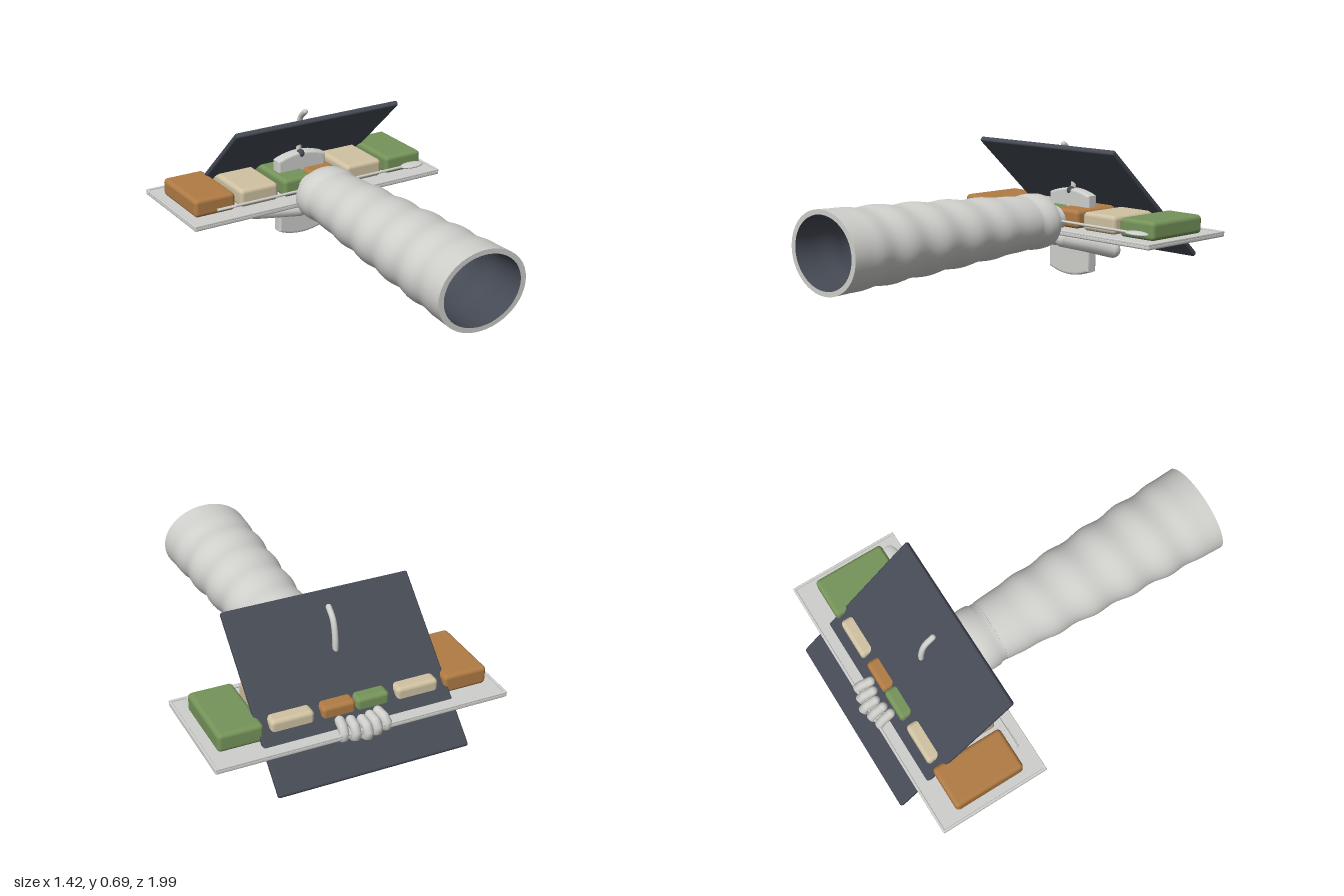
import * as THREE from 'three';
import { RoundedBoxGeometry } from 'three/addons/geometries/RoundedBoxGeometry.js';

const mat = (name, color, side = THREE.FrontSide) => {
  const m = new THREE.MeshStandardMaterial({ color, side });
  m.name = name;
  return m;
};
const V = (x, y, z) => new THREE.Vector3(x, y, z);

export function createModel() {
  const group = new THREE.Group();
  const grey = mat('light grey', 0xcfcfcc, THREE.DoubleSide);
  const dark = mat('charcoal', 0x454a54, THREE.DoubleSide);
  const orange = mat('orange brown', 0xb07b44);
  const beige = mat('beige', 0xd0c2a2);
  const green = mat('green', 0x76945a);

  const add = (name, geo, material, x = 0, y = 0, z = 0) => {
    const m = new THREE.Mesh(geo, material);
    m.name = name;
    m.position.set(x, y, z);
    group.add(m);
    return m;
  };
  const box = (name, w, h, d, r, material, x, y, z) =>
    add(name, new RoundedBoxGeometry(w, h, d, 3, r), material, x, y, z);
  const tube = (name, pts, r, material) => {
    add(name, new THREE.TubeGeometry(new THREE.CatmullRomCurve3(pts), 20, r, 12), material);
    for (const p of [pts[0], pts[pts.length - 1]])
      add(name + 'Tip', new THREE.SphereGeometry(r, 12, 8), material, p.x, p.y, p.z);
  };

  // Oval sleeve shell turned around z, with soft wrinkles
  const shell = (name, profile, material) => {
    const g = new THREE.LatheGeometry(profile.map(([r, z]) => new THREE.Vector2(r, z)), 48);
    g.rotateX(Math.PI / 2);
    const p = g.attributes.position;
    for (let i = 0; i < p.count; i++) {
      const x = p.getX(i), y = p.getY(i), z = p.getZ(i);
      const fade = THREE.MathUtils.smoothstep(z, -0.2, 0.1) * (1 - THREE.MathUtils.smoothstep(z, 0.75, 0.95));
      const k = 1 + 0.028 * fade * Math.sin(z * 30 + 0.8 * x / Math.hypot(x, y));
      p.setXY(i, x * k, y * k * 0.825);
    }
    g.computeVertexNormals();
    return add(name, g, material, 0, 0.3, 0);
  };
  const body = [], lining = [];
  for (let i = 0; i <= 72; i++) {
    const t = i / 72, z = -0.2 + 1.2 * t;
    const r = 0.16 + 0.073 * Math.pow(t, 0.85);
    body.push([r, z]);
    lining.unshift([r - 0.028, z]);
  }
  shell('sleeve', body, grey);
  shell('sleeveLining', [...lining, [0.12, -0.31]], dark);
  shell('sleeveRim', [[0.233, 1], [0.205, 1]], grey);
  shell('cuff', [[0.12, -0.31], [0.13, -0.325], [0.152, -0.325], [0.164, -0.315],
    [0.168, -0.28], [0.166, -0.24], [0.158, -0.225], [0.158, -0.2]], grey);

  // Tray with a low raised edge
  box('tray', 1.42, 0.022, 0.565, 0.008, grey, 0, 0.251, -0.612);
  for (const s of [-1, 1]) {
    box('trayEdge', 0.012, 0.012, 0.565, 0.004, grey, s * 0.704, 0.263, -0.612);
    box('trayEdge', 1.42, 0.012, 0.012, 0.004, grey, 0, 0.263, -0.612 + s * 0.276);
  }

  // Row of soft blocks with slightly domed tops
  const block = (x0, x1, material) => {
    const w = x1 - x0, g = new RoundedBoxGeometry(w, 0.09, 0.365, 5, 0.02);
    const p = g.attributes.position;
    for (let i = 0; i < p.count; i++)
      if (p.getY(i) > 0) p.setY(i, p.getY(i) + 0.006 - 0.024 * (p.getX(i) / w) ** 2);
    g.computeVertexNormals();
    add('block', g, material, (x0 + x1) / 2, 0.308, -0.607);
  };
  block(-0.66, -0.44, orange);
  block(-0.41, -0.2, beige);
  block(-0.165, 0, green);
  block(0, 0.165, orange);
  block(0.2, 0.41, beige);
  block(0.44, 0.655, green);

  // Spoon along the front of the tray
  const handle = new THREE.CylinderGeometry(0.007, 0.007, 1.08, 10).rotateZ(Math.PI / 2);
  add('spoonHandle', handle, grey, -0.015, 0.298, -0.395);
  box('spoonEnd', 0.1, 0.008, 0.022, 0.003, grey, -0.505, 0.298, -0.395);
  add('spoonBowl', new THREE.SphereGeometry(1, 24, 12).scale(0.068, 0.012, 0.036), grey, 0.58, 0.297, -0.395);

  // Slanted dark panel
  const panel = box('panel', 0.925, 0.028, 0.85, 0.01, dark, 0, 0.39, -0.67);
  panel.rotation.x = -Math.atan2(0.57, 0.63);

  // Upright plate with bowed ends
  const s = new THREE.Shape();
  s.moveTo(-0.125, 0.035);
  s.quadraticCurveTo(0, -0.015, 0.125, 0.035);
  s.lineTo(0.125, 0.405);
  s.quadraticCurveTo(0, 0.455, -0.125, 0.405);
  const plate = new THREE.ExtrudeGeometry(s, {
    depth: 0.04, bevelEnabled: true, bevelSize: 0.012, bevelThickness: 0.012, bevelSegments: 3, curveSegments: 16,
  });
  add('uprightPlate', plate, grey, 0, 0, -0.585);
  add('plateKnob', new THREE.SphereGeometry(0.022, 16, 10), dark, 0, 0.43, -0.55);

  // Curved stalk through the panel
  tube('stalk', [V(0, 0.42, -0.567), V(0, 0.54, -0.567), V(0, 0.63, -0.54), V(0, 0.67, -0.495)], 0.014, grey);

  // Wrist and palm under the tray
  const wrist = new THREE.CylinderGeometry(1, 1, 0.18, 32).rotateX(Math.PI / 2).scale(0.085, 0.068, 1);
  add('wrist', wrist, grey, 0, 0.3, -0.335);
  add('palm', new THREE.SphereGeometry(1, 28, 16).scale(0.14, 0.045, 0.15), grey, 0, 0.21, -0.47);

  // Fingers fan under the tray and curl over its back edge
  for (let i = -2; i <= 2; i++) {
    const x = i * 0.052, back = -0.9 + Math.abs(i) * 0.014;
    tube('finger', [V(x * 1.2, 0.222, -0.5), V(x * 1.1, 0.225, -0.72), V(x, 0.238, back),
      V(x, 0.275, back - 0.004), V(x * 0.9, 0.288, back + 0.06)], 0.023, grey);
  }

  // Thick outer digits, mirrored
  for (const m of [-1, 1])
    tube('thumb', [V(m * 0.11, 0.215, -0.38), V(m * 0.18, 0.19, -0.47), V(m * 0.25, 0.153, -0.59)], 0.042, grey);

  return group;
}
